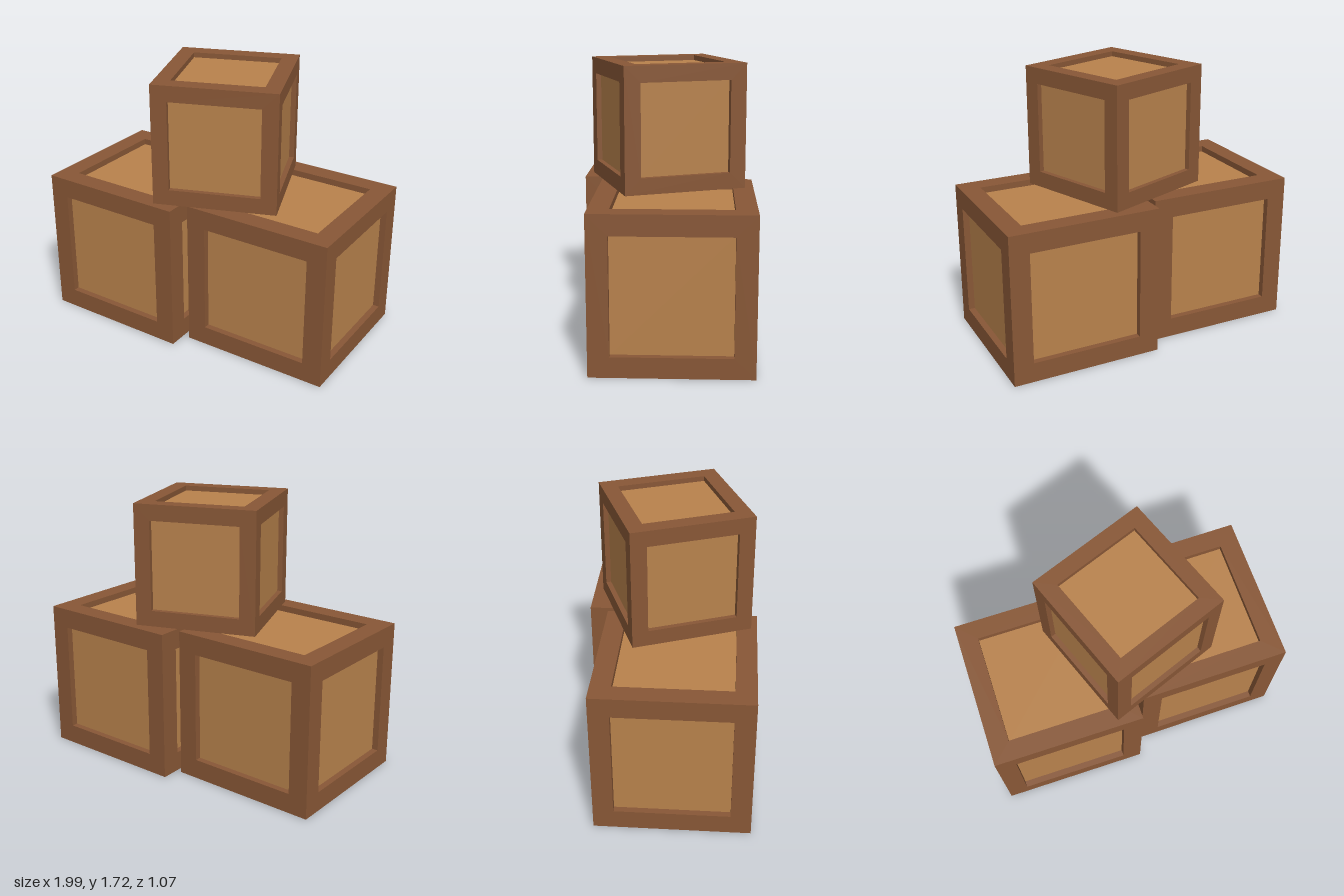
import * as THREE from 'three';
import { mergeGeometries } from 'three/addons/utils/BufferGeometryUtils.js';

const frameWood = new THREE.MeshStandardMaterial({ name: 'frameWood', color: 0x885736 });
const panelWood = new THREE.MeshStandardMaterial({ name: 'panelWood', color: 0xb8824c });

const HALF = 0.5;      // half side of a unit crate
const OPENING = 0.369; // half side of the recessed opening
const DEPTH = 0.042;   // recess depth

// One side of the frame: square border plus the four walls of the recess
function frameSide() {
  const loops = [[HALF, HALF], [OPENING, HALF], [OPENING, HALF - DEPTH]].map(([r, z]) =>
    [[-r, -r, z], [r, -r, z], [r, r, z], [-r, r, z]]);
  const points = [];
  for (let i = 0; i < 2; i++) {
    for (let k = 0; k < 4; k++) {
      const n = (k + 1) % 4;
      const a = loops[i], b = loops[i + 1];
      points.push(...a[k], ...a[n], ...b[n], ...a[k], ...b[n], ...b[k]);
    }
  }
  const geometry = new THREE.BufferGeometry();
  geometry.setAttribute('position', new THREE.Float32BufferAttribute(points, 3));
  geometry.computeVertexNormals();
  return geometry;
}

// Repeat a +z side on all six faces of the cube
function onAllSides(side) {
  const parts = [];
  for (let i = 0; i < 4; i++) parts.push(side.clone().rotateY(i * Math.PI / 2));
  for (const s of [-1, 1]) parts.push(side.clone().rotateX(s * Math.PI / 2));
  return mergeGeometries(parts);
}

const frameGeometry = onAllSides(frameSide());
const panelGeometry = onAllSides(
  new THREE.PlaneGeometry(2 * OPENING, 2 * OPENING).translate(0, 0, HALF - DEPTH));

function makeCrate(name, size, x, base, z, turn) {
  const crate = new THREE.Group();
  crate.name = name;
  const frame = new THREE.Mesh(frameGeometry, frameWood);
  frame.name = 'crateFrame';
  const panels = new THREE.Mesh(panelGeometry, panelWood);
  panels.name = 'cratePanels';
  crate.add(frame, panels);
  crate.scale.setScalar(size);
  crate.position.set(x, base + size / 2, z);
  crate.rotation.y = turn;
  return crate;
}

export function createModel() {
  const model = new THREE.Group();
  model.name = 'crateStack';
  model.add(
    makeCrate('rightCrate', 0.953, -0.5, 0, 0.03, -0.051),
    makeCrate('leftCrate', 0.953, 0.498, 0, -0.04, -0.042),
    makeCrate('topCrate', 0.762, 0.048, 0.953, 0.006, 0.313),
  );
  return model;
}
